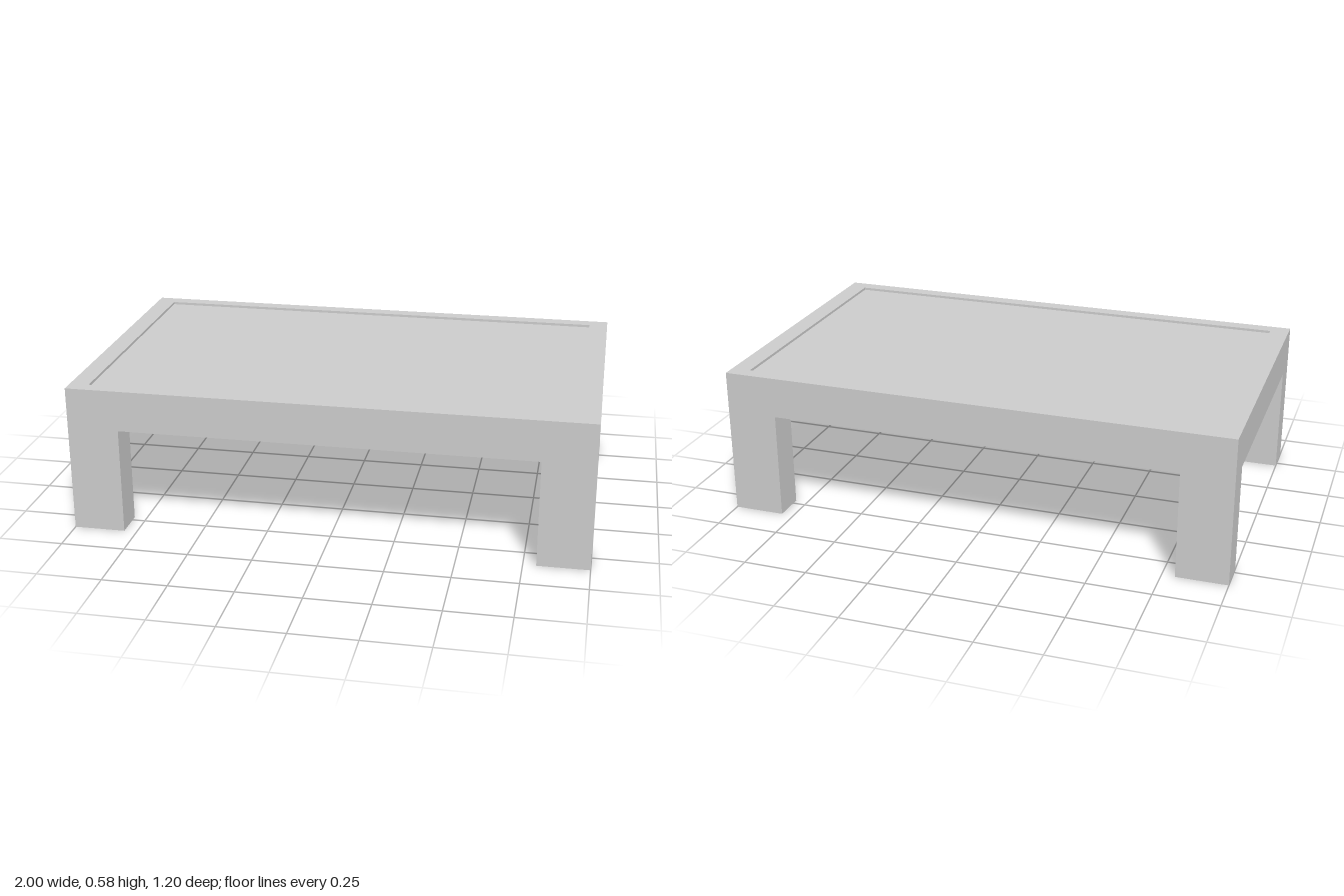
import * as THREE from 'three';

const W = 2, D = 1.2, LEG_H = 0.42, TOP = 0.58;
const INNER_W = 1.85, INNER_D = 1.09;

// Rectangle outline centred on the origin
function rect(target, w, d) {
  target.moveTo(-w / 2, -d / 2);
  target.lineTo(w / 2, -d / 2);
  target.lineTo(w / 2, d / 2);
  target.lineTo(-w / 2, d / 2);
  target.closePath();
  return target;
}

export function createModel() {
  const group = new THREE.Group();
  const material = new THREE.MeshStandardMaterial({ color: 0xcccccc });
  const add = (name, geometry, x, y, z) => {
    const mesh = new THREE.Mesh(geometry, material);
    mesh.name = name;
    mesh.position.set(x, y, z);
    group.add(mesh);
  };

  // Rectangular frame, open in the middle
  const outline = rect(new THREE.Shape(), W, D);
  outline.holes.push(rect(new THREE.Path(), INNER_W, INNER_D));
  const frame = new THREE.ExtrudeGeometry(outline, { depth: TOP - LEG_H, bevelEnabled: false });
  frame.rotateX(-Math.PI / 2);
  add('frame', frame, 0, LEG_H, 0);

  // Thin table top, set just below the rim
  add('tabletop', new THREE.BoxGeometry(INNER_W, 0.02, INNER_D), 0, 0.56, 0);

  // Four legs flush with the outer corners
  const legW = 0.2, legD = 0.125;
  const leg = new THREE.BoxGeometry(legW, LEG_H, legD);
  for (const [side, sx] of [['Left', 1], ['Right', -1]]) {
    for (const [end, sz] of [['front', 1], ['back', -1]]) {
      add(`${end}${side}Leg`, leg, sx * (W - legW) / 2, LEG_H / 2, sz * (D - legD) / 2);
    }
  }
  return group;
}
